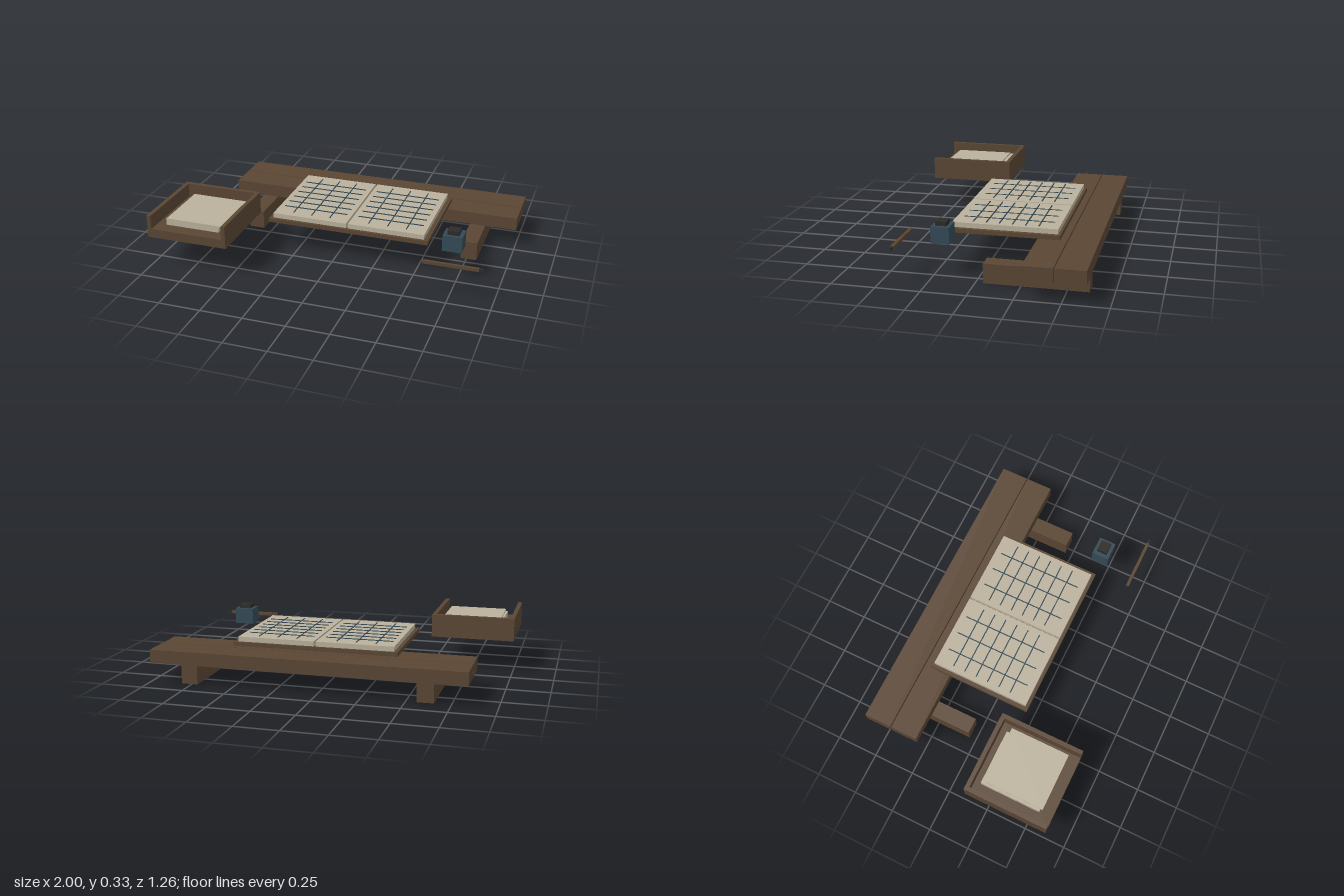
import * as THREE from 'three';

const material = (name, color) => {
  const m = new THREE.MeshStandardMaterial({ color });
  m.name = name;
  return m;
};

export function createModel() {
  const wood = material('dark wood', 0x5a4633);
  const paper = material('aged paper', 0xbab19c);
  const ink = material('slate ink', 0x344955);
  const black = material('charcoal', 0x2c2b2a);

  const model = new THREE.Group();
  model.name = 'writingDesk';

  // Box given by its lower and upper limits on each axis
  const box = (parent, name, mat, [x0, x1], [y0, y1], [z0, z1]) => {
    const mesh = new THREE.Mesh(new THREE.BoxGeometry(x1 - x0, y1 - y0, z1 - z0), mat);
    mesh.position.set((x0 + x1) / 2, (y0 + y1) / 2, (z0 + z1) / 2);
    mesh.name = name;
    parent.add(mesh);
    return mesh;
  };
  const group = (name) => {
    const g = new THREE.Group();
    g.name = name;
    model.add(g);
    return g;
  };

  // Two planks on two cross beams
  const bench = group('bench');
  box(bench, 'backPlank', wood, [-0.84, 1], [0.112, 0.19], [-0.628, -0.461]);
  box(bench, 'frontPlank', wood, [-0.84, 1], [0.112, 0.19], [-0.455, -0.29]);
  for (const x of [-0.607, 0.763]) {
    box(bench, 'crossBeam', wood, [x - 0.048, x + 0.048], [0, 0.112], [-0.618, -0.042]);
  }

  // Open ledger: cover, two page blocks, ruled lines
  const ledger = group('ledger');
  box(ledger, 'cover', wood, [-0.41, 0.57], [0.19, 0.214], [-0.416, 0.222]);
  for (const x of [-0.157, 0.314]) {
    box(ledger, 'pages', paper, [x - 0.23, x + 0.23], [0.214, 0.243], [-0.4, 0.204]);
    for (let i = 0; i < 6; i++) {
      const z = -0.287 + i * 0.075;
      box(ledger, 'ruledRow', ink, [x - 0.2, x + 0.2], [0.242, 0.247], [z - 0.003, z + 0.003]);
    }
    for (const dx of [-0.116, 0, 0.114]) {
      box(ledger, 'ruledColumn', ink, [x + dx - 0.003, x + dx + 0.003], [0.242, 0.246], [-0.362, 0.162]);
    }
  }

  // Paper tray, open at the front
  const tray = group('tray');
  box(tray, 'trayFloor', wood, [-0.975, -0.532], [0.19, 0.243], [0.14, 0.628]);
  box(tray, 'trayBack', wood, [-0.975, -0.532], [0.19, 0.326], [0.115, 0.14]);
  box(tray, 'traySide', wood, [-1, -0.975], [0.19, 0.326], [0.115, 0.628]);
  box(tray, 'traySide', wood, [-0.532, -0.507], [0.19, 0.326], [0.115, 0.628]);
  box(tray, 'paperStack', paper, [-0.918, -0.585], [0.243, 0.282], [0.18, 0.548]);
  box(tray, 'topSheet', paper, [-0.905, -0.557], [0.282, 0.292], [0.2, 0.562]);

  // Ink bottle
  const bottle = group('inkBottle');
  box(bottle, 'bottleBody', ink, [0.662, 0.777], [0.19, 0.286], [0.153, 0.257]);
  box(bottle, 'bottleCap', black, [0.685, 0.755], [0.286, 0.31], [0.173, 0.237]);

  // Pen with a dark tip
  const pen = group('pen');
  box(pen, 'penShaft', wood, [0.592, 0.912], [0.19, 0.208], [0.42, 0.438]);
  box(pen, 'penTip', black, [0.912, 0.938], [0.192, 0.206], [0.422, 0.436]);

  return model;
}
